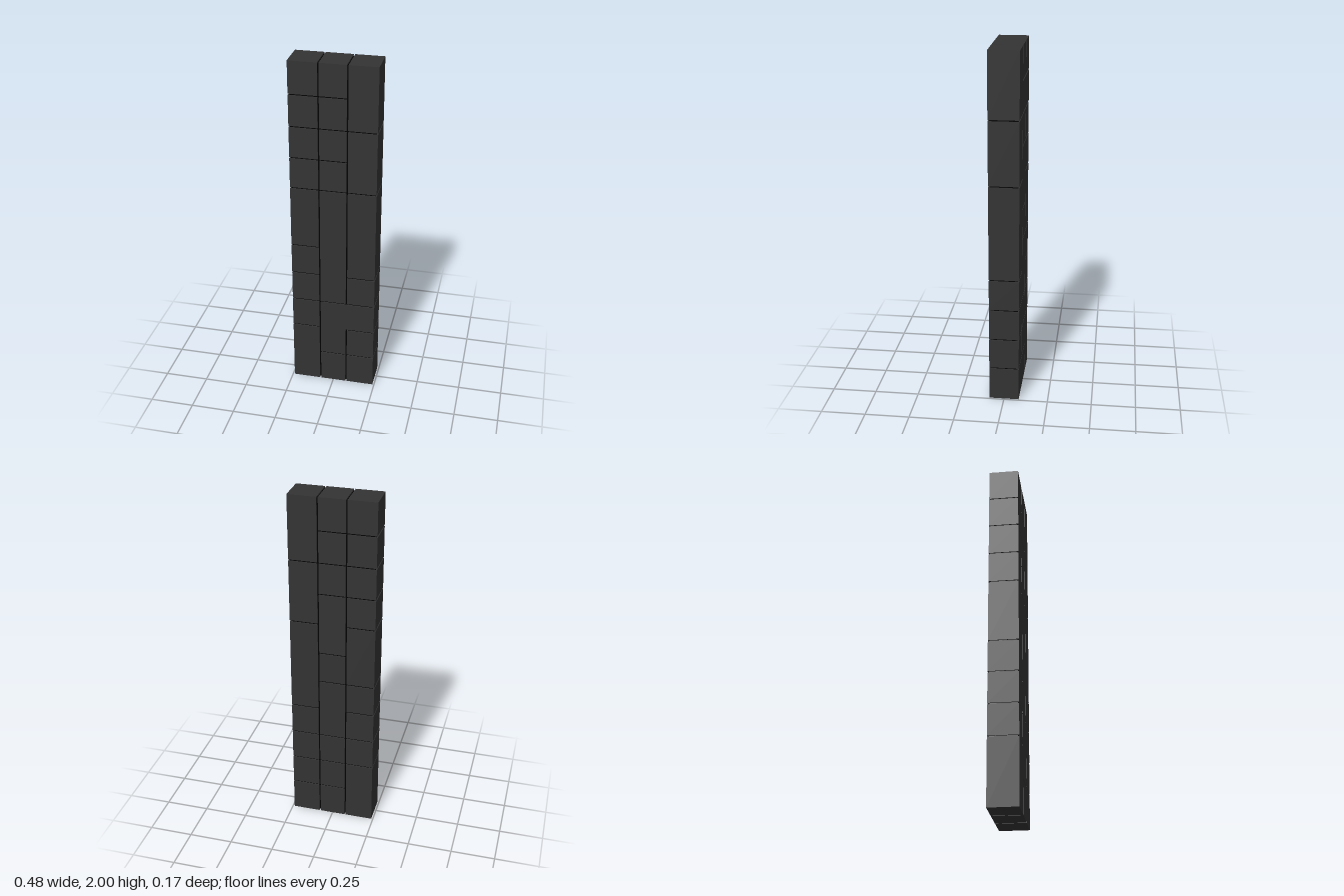
import * as THREE from 'three';

const GAP = 0.008;      // width of the dark seams
const HALF_D = 0.084;   // half the depth of the slab
const SEAM_X = 0.078;   // column boundary
const HALF_W = 0.24;

// Height of each of the twelve row lines.
const rowY = (i) => (i === 0 ? 0 : i === 11 ? 2 : 0.193 + 0.1803 * (i - 1));

export function createModel() {
  const group = new THREE.Group();
  const stone = new THREE.MeshStandardMaterial({ color: 0x333333 });
  const dark = new THREE.MeshStandardMaterial({ color: 0x000000 });

  // Box between two opposite corners.
  function box(name, x0, x1, y0, y1, z0, z1, material = stone) {
    const mesh = new THREE.Mesh(new THREE.BoxGeometry(x1 - x0, y1 - y0, z1 - z0), material);
    mesh.position.set((x0 + x1) / 2, (y0 + y1) / 2, (z0 + z1) / 2);
    mesh.name = name;
    group.add(mesh);
  }

  // Column of blocks split at the given row lines, with half a seam cut from each inner edge.
  function column(name, x0, x1, z0, z1, rows) {
    for (let i = 0; i < rows.length - 1; i++) {
      const y0 = rowY(rows[i]) + (rows[i] === 0 ? 0 : GAP / 2);
      const y1 = rowY(rows[i + 1]) - (rows[i + 1] === 11 ? 0 : GAP / 2);
      box(name + (i + 1), x0, x1, y0, y1, z0, z1);
    }
  }

  const inner = SEAM_X - GAP / 2;
  const outer = SEAM_X + GAP / 2;

  // Outer columns run through the full depth.
  column('rightColumnBlock', -HALF_W, -outer, -HALF_D, HALF_D, [0, 2, 3, 4, 5, 7, 8, 9, 10, 11]);
  column('leftColumnBlock', outer, HALF_W, -HALF_D, HALF_D, [0, 1, 2, 3, 4, 7, 9, 11]);

  // The middle column is divided differently on front and back.
  column('middleFrontBlock', -inner, inner, 0, HALF_D, [0, 1, 3, 7, 8, 9, 10, 11]);
  column('middleBackBlock', -inner, inner, -HALF_D, 0, [0, 1, 2, 3, 5, 6, 8, 9, 10, 11]);

  // Bridge that joins two front blocks into one L-shaped block.
  box('blockBridge', inner, outer, rowY(2) + GAP / 2, rowY(3) - GAP / 2, 0, HALF_D);

  // Dark core seen at the bottom of the seams.
  const inset = 0.007;
  box('seamCore', -HALF_W + inset, HALF_W - inset, inset, 2 - inset, -HALF_D + inset, HALF_D - inset, dark);

  return group;
}
